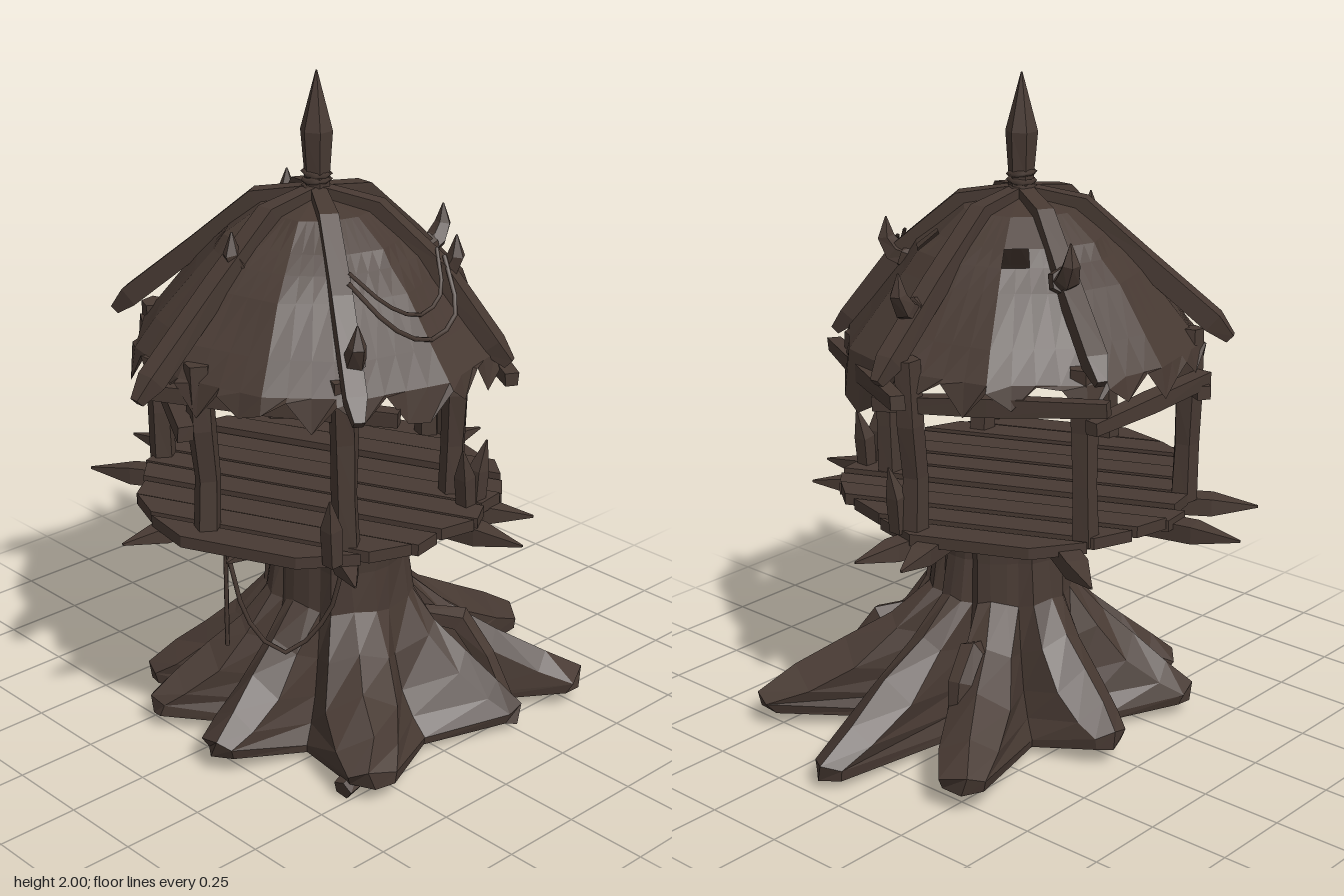
import * as THREE from 'three';

const V = (x, y, z) => new THREE.Vector3(x, y, z);
const CX = -0.08, CZ = 0.03; // axis of hut

export function createModel() {
  const group = new THREE.Group();
  const wood = new THREE.MeshStandardMaterial({ color: 0x483a33, side: THREE.DoubleSide });
  wood.name = 'darkWood';

  let seed = 7;
  const rnd = () => ((seed = (seed * 16807) % 2147483647) / 2147483647);
  const jit = (a) => (rnd() - 0.5) * 2 * a;

  const add = (name, geo) => {
    const m = new THREE.Mesh(geo, wood);
    m.name = name;
    group.add(m);
    return m;
  };
  const faceted = (pos, idx) => {
    const g = new THREE.BufferGeometry();
    g.setAttribute('position', new THREE.Float32BufferAttribute(pos, 3));
    g.setIndex(idx);
    const f = g.toNonIndexed();
    f.computeVertexNormals();
    return f;
  };
  // Quads joining successive rings of n vertices
  const skin = (rows, n, skip = () => false) => {
    const idx = [];
    for (let i = 0; i < rows - 1; i++) for (let j = 0; j < n; j++) {
      if (skip(i, j)) continue;
      const a = i * n + j, b = i * n + (j + 1) % n;
      idx.push(a, b, b + n, a, b + n, a + n);
    }
    return idx;
  };

  // Faceted limb: cross-sections [half width, half height] swept along points
  const limb = (name, pts, radii, sides = 4, noise = 0) => {
    const pos = [], n = pts.length, k = 1 / Math.cos(Math.PI / sides);
    const dir = pts[n - 1].clone().sub(pts[0]).normalize();
    const ref = Math.abs(dir.y) > 0.85 ? V(1, 0, 0) : V(0, 1, 0);
    pts.forEach((p, i) => {
      const t = pts[Math.min(i + 1, n - 1)].clone().sub(pts[Math.max(i - 1, 0)]).normalize();
      const s = t.clone().cross(ref).normalize(), u = s.clone().cross(t);
      const [w, h] = Array.isArray(radii[i]) ? radii[i] : [radii[i], radii[i]];
      for (let j = 0; j < sides; j++) {
        const a = ((j + 0.5) / sides) * Math.PI * 2, f = k * (1 + jit(noise));
        const q = p.clone().addScaledVector(s, Math.cos(a) * w * f).addScaledVector(u, Math.sin(a) * h * f);
        pos.push(q.x, q.y, q.z);
      }
    });
    const idx = skin(n, sides);
    for (let j = 1; j < sides - 1; j++) {
      const e = (n - 1) * sides;
      idx.push(0, j + 1, j, e, e + j, e + j + 1);
    }
    return add(name, faceted(pos, idx));
  };

  // Trunk flaring into webbed roots: tip x, tip z, tip half width, tip lift
  const TX = -0.045, TZ = 0.085;
  const roots = [[0.73, 0.11, 0.06, 0], [0.54, 0.57, 0.07, 0.02], [0.26, 0.57, 0.035, 0], [-0.36, 0.57, 0.075, 0.025], [-0.59, 0.13, 0.06, 0.03],
    [-0.54, -0.22, 0.05, 0.02], [-0.4, -0.4, 0.05, 0.01], [0.04, -0.45, 0.06, 0.03], [0.57, -0.31, 0.07, 0.04]].map(([x, z, w, lift]) =>
    ({ a: Math.atan2(z - TZ, x - TX), l: Math.hypot(x - TX, z - TZ), w, lift })).sort((p, q) => p.a - q.a);
  // Per ring: reach toward tip, ridge y, shoulder drop, valley radius scale, valley y, width scale
  const flare = [[0, 0.73, 0, 1, 0.73, 1], [0, 0.56, 0, 0.96, 0.56, 1], [0.03, 0.44, 0.01, 0.98, 0.42, 1.2], [0.24, 0.34, 0.03, 1.06, 0.28, 1.4],
    [0.5, 0.255, 0.06, 1.2, 0.17, 1.5], [0.78, 0.165, 0.05, 1.4, 0.1, 1.3], [1, 0.085, 0.02, 1.62, 0.05, 1], [0.98, 0.025, -0.005, 1.6, 0.025, 0.9]];
  const tree = [];
  flare.forEach(([reach, ridge, drop, vr, vy, ws], ring) => roots.forEach((o, i) => {
    const next = roots[(i + 1) % roots.length], prev = roots[(i + roots.length - 1) % roots.length];
    const gapTo = (p, q) => (q.a - p.a + Math.PI * 2) % (Math.PI * 2);
    const oval = (a) => 0.2 * 0.235 / Math.hypot(0.235 * Math.cos(a), 0.2 * Math.sin(a)) * (ring === 1 || ring === 2 ? 0.96 : 1);
    const put = (r, a, y) => tree.push(TX + Math.cos(a) * r, y, TZ + Math.sin(a) * r);
    const r = oval(o.a) * (1 + jit(0.04)) * (1 - reach) + o.l * reach;
    const y = ridge + o.lift * reach * reach;
    const side = (gap, sgn) => {
      const turn = Math.min(gap * 0.3, Math.atan2(o.w * ws, r));
      put(r * (1 - reach * (0.02 + rnd() * 0.04)), o.a + sgn * turn, y - drop);
    };
    side(gapTo(prev, o), -1);
    put(r, o.a + jit(0.03), y);
    side(gapTo(o, next), 1);
    const va = o.a + gapTo(o, next) / 2;
    put(oval(va) * vr, va, vy);
  }));
  const cols = roots.length * 4, treeIdx = skin(flare.length, cols), last = (flare.length - 1) * cols;
  tree.push(TX, 0.04, TZ);
  for (let j = 0; j < cols; j++) treeIdx.push(last + j, last + (j + 1) % cols, last + cols);
  add('trunkAndRoots', faceted(tree, treeIdx));

  // Thin creeping roots
  limb('creeper', [V(0.16, 0.31, -0.04), V(0.27, 0.34, -0.08), V(0.34, 0.27, -0.1), V(0.37, 0.14, -0.11)], [0.02, 0.03, 0.028, 0.022], 5, 0.1);
  limb('creeper', [V(0.1, 0.34, 0.26), V(0.21, 0.31, 0.35), V(0.25, 0.2, 0.42), V(0.28, 0.05, 0.48)], [0.02, 0.035, 0.03, 0.025], 5, 0.1);
  limb('creeper', [V(-0.3, 0.12, 0.42), V(-0.33, 0.05, 0.47), V(-0.4, 0.03, 0.48)], [0.04, 0.035, 0.025], 5, 0.1);

  // Floor planks cut to a rough circle
  const planks = new THREE.Group();
  planks.name = 'floor';
  const R = 0.53, N = 10, step = (2 * R) / N;
  const chord = (v) => Math.sqrt(Math.max(0.03, R * R - v * v));
  for (let i = 0; i < N; i++) {
    const v0 = -R + i * step + 0.007, v1 = v0 + step - 0.014;
    const s = new THREE.Shape([
      new THREE.Vector2(v0, -chord(v0) + jit(0.025)), new THREE.Vector2(v1, -chord(v1) + jit(0.025)),
      new THREE.Vector2(v1, chord(v1) + jit(0.025)), new THREE.Vector2(v0, chord(v0) + jit(0.025))]);
    const g = new THREE.ExtrudeGeometry(s, { depth: 0.035, bevelEnabled: false });
    g.rotateX(Math.PI / 2);
    const m = new THREE.Mesh(g, wood);
    m.name = 'plank';
    m.position.y = 0.768 + jit(0.008);
    planks.add(m);
  }
  planks.position.set(CX, 0, CZ);
  planks.rotation.y = 0.42;
  group.add(planks);

  // Sharpened joists beneath the floor
  [[-0.2, -0.7, 0.1, 0.69], [-0.72, -0.09, 0.64, 0.02], [0.6, -0.12, -0.58, 0.2], [0.27, 0.58, -0.46, -0.58], [-0.42, 0.55, 0.34, -0.59]].forEach(([x0, z0, x1, z1]) => {
    const a = V(x0, 0.715, z0), b = V(x1, 0.715, z1);
    const at = (f) => a.clone().lerp(b, f);
    limb('joist', [a, at(0.1), at(0.5), at(0.9), b], [0.003, [0.032, 0.026], [0.034, 0.028], [0.032, 0.026], 0.003], 4, 0.08);
  });

  // Posts, leaning slightly outward
  [[0.42, 0.0], [0.14, 0.37], [-0.33, 0.42], [-0.54, 0.07], [-0.31, -0.41], [0.15, -0.41]].forEach(([x, z], i) => {
    const o = i % 2 ? 0.006 : -0.006, lean = 0.02 * Math.sign(x);
    limb('post', [V(x, 0.74, z), V(x + o, 0.92, z), V(x - o + lean * 0.5, 1.08, z + o), V(x + lean, 1.27, z)], [0.034, 0.031, 0.034, 0.032], 5, 0.06);
  });
  // Top rails tied outside the posts
  [[-0.32, -0.47, 0.2, -0.47, 1.13, 1.11], [0.2, -0.53, 0.47, 0.1, 1.18, 1.13], [0.54, -0.06, 0.2, 0.54, 1.18, 1.15],
   [-0.25, 0.54, -0.64, -0.04, 1.16, 1.18], [-0.65, 0.12, -0.28, -0.5, 1.1, 1.1]].forEach(([x0, z0, x1, z1, y0, y1]) => {
    const a = V(x0, y0, z0), b = V(x1, y1, z1);
    limb('rail', [a, a.clone().lerp(b, 0.5), b], [0.022, 0.026, 0.02], 4, 0.1);
  });
  // Pointed floor stakes
  [[-0.42, 0.46, -0.02], [0.1, 0.47, -0.03], [0.15, 0.46, 0.03], [0.45, 0.03, 0.03]].forEach(([x, z, lean]) =>
    limb('stake', [V(x, 0.75, z), V(x + lean * 0.3, 0.86, z), V(x + lean, 0.95, z + 0.01)], [0.02, 0.022, 0.002], 4));

  // Roof shell: faceted dome with a ragged hem
  const COLS = 48, SEG = 12, pos = [];
  const rings = [[0.02, 1.645], [0.165, 1.615], [0.26, 1.545], [0.305, 1.5], [0.36, 1.44], [0.46, 1.31], [0.525, 1.225]];
  const bump = rings.map(() => Array.from({ length: SEG }, () => jit(0.01)));
  const hem = [0.02, 0.1, 0.01, 0.05, 0.09, 0.0, 0.07];
  for (let i = 0; i <= rings.length; i++) for (let j = 0; j < COLS; j++) {
    const a = (j / COLS) * Math.PI * 2, f = (j / COLS) * SEG, k = Math.floor(f), t = f - k;
    const ri = Math.min(i, rings.length - 1), b = bump[ri];
    const flat = Math.cos(Math.PI / SEG) / Math.cos((t - 0.5) * 2 * Math.PI / SEG);
    const r = (rings[ri][0] + (i ? b[k] * (1 - t) + b[(k + 1) % SEG] * t : 0)) * flat + (i > ri ? 0.015 : 0);
    let y = rings[ri][1];
    if (i > ri) {
      y -= hem[(j + Math.floor(j / 7) * 2) % 7];
      if (j >= 1 && j <= 5) y = 1.05 + Math.abs(j - 3) * 0.035; // long torn flap
    }
    pos.push(CX + Math.cos(a) * r, y, CZ + Math.sin(a) * r * 1.02);
  }
  const holes = [[2, 4], [2, 5], [2, 42], [2, 43]]; // missing patches
  add('roof', faceted(pos, skin(rings.length + 1, COLS, (i, j) => holes.some(([r, c]) => r === i && c === j))));

  // Rafters laid over the roof, with end positions
  [[0.54, 0.02, 1.22], [0.2, 0.53, 1.2], [-0.41, 0.55, 1.19], [-0.74, 0.025, 1.19], [-0.4, -0.5, 1.24], [0.21, -0.51, 1.25]].forEach(([x, z, y]) => {
    const len = Math.hypot(x - CX, z - CZ), ux = (x - CX) / len, uz = (z - CZ) / len;
    const at = (r, h) => V(CX + ux * r, h, CZ + uz * r);
    limb('rafter', [at(0.02, 1.65), at(0.18, 1.62), at(0.37, 1.455), at(len - 0.05, y + 0.05), at(len, y)],
      [0.022, 0.027, 0.03, 0.03, 0.015], 4, 0.06);
  });

  // Horns curving up from the rafters: base point and outward direction
  [[0.38, 1.41, 0.03, 1, 0], [0.11, 1.5, -0.29, 0.5, -0.85], [0.1, 1.46, 0.33, 0.5, 0.85], [-0.34, 1.5, 0.03, -1, 0], [-0.33, 1.34, 0.44, -0.5, 0.85]].forEach(([x, y, z, dx, dz]) => {
    const at = (o, h) => V(x + dx * o, y + h, z + dz * o);
    limb('horn', [at(-0.02, -0.03), at(0.035, -0.005), at(0.06, 0.04), at(0.058, 0.1)], [0.028, 0.027, 0.021, 0.002], 5, 0.08);
    limb('hornBinding', [at(-0.02, -0.025), at(0.01, -0.015)], [0.036, 0.034], 6, 0.08);
  });

  // Spire with bindings
  limb('spire', [V(CX, 1.52, CZ), V(CX, 1.7, CZ), V(CX, 1.83, CZ), V(CX, 2, CZ)], [0.04, 0.033, 0.04, 0.002], 6, 0.05);
  for (let i = 0; i < 4; i++) {
    const g = new THREE.TorusGeometry(0.037, 0.009, 4, 8);
    g.rotateX(Math.PI / 2 + jit(0.12));
    add('spireBinding', g).position.set(CX, 1.645 + i * 0.021, CZ);
  }

  // Ropes
  const cord = (name, pts, r) => add(name, new THREE.TubeGeometry(new THREE.CatmullRomCurve3(pts), 10, r, 5));
  cord('garland', [V(-0.26, 1.5, 0.35), V(-0.19, 1.38, 0.46), V(-0.08, 1.33, 0.49), V(0.04, 1.37, 0.465), V(0.1, 1.5, 0.36)], 0.007);
  cord('garland', [V(-0.24, 1.52, 0.33), V(-0.17, 1.43, 0.415), V(-0.08, 1.39, 0.445), V(0.02, 1.42, 0.425), V(0.09, 1.52, 0.34)], 0.006);
  cord('hangingLoop', [V(-0.35, 0.72, 0.43), V(-0.37, 0.54, 0.38), V(-0.45, 0.42, 0.29), V(-0.52, 0.52, 0.22), V(-0.55, 0.72, 0.17)], 0.007);
  cord('hangingEnd', [V(-0.55, 0.72, 0.16), V(-0.55, 0.58, 0.16), V(-0.55, 0.43, 0.16)], 0.007);

  return group;
}
